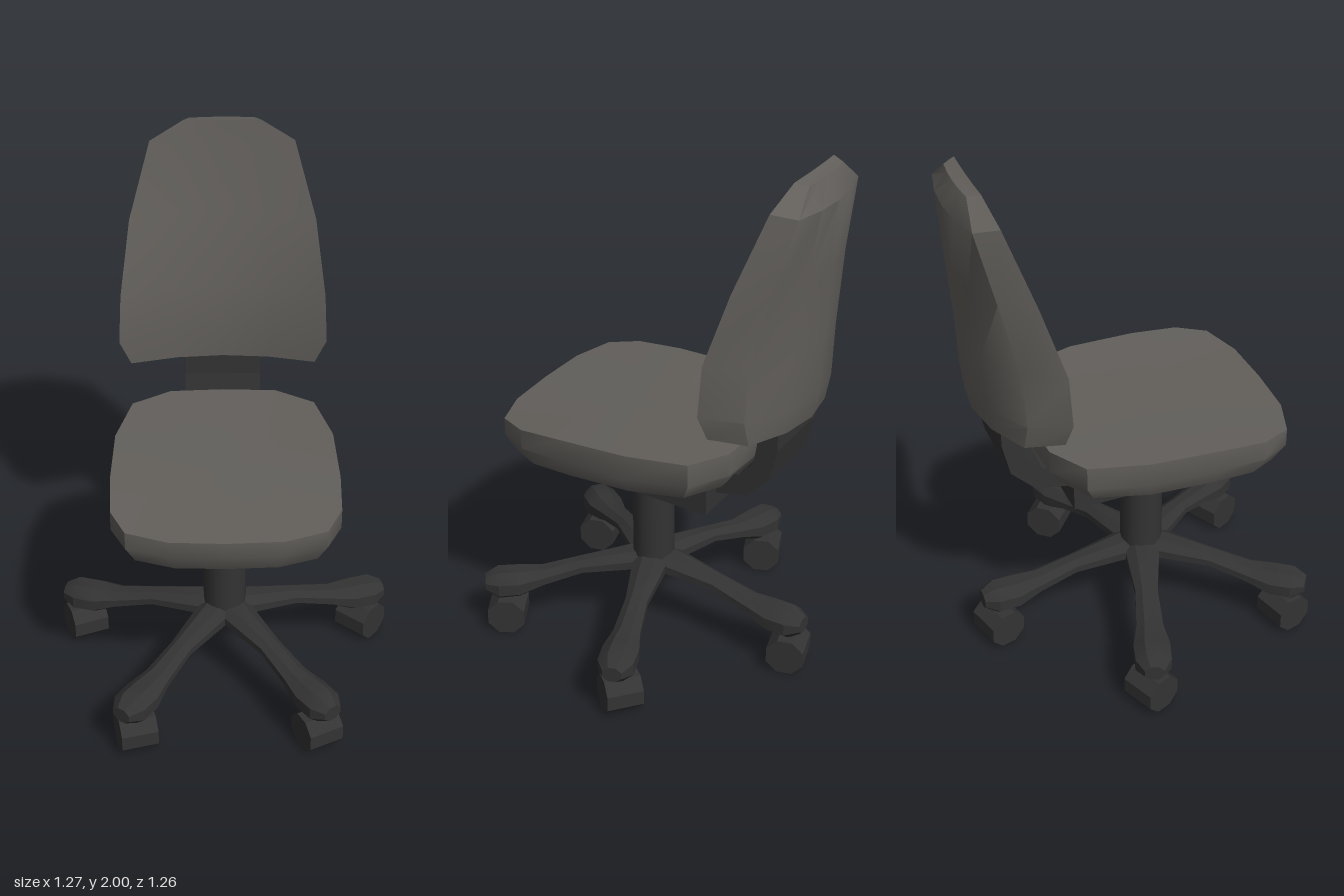
import * as THREE from 'three';
import { toCreasedNormals } from 'three/addons/utils/BufferGeometryUtils.js';

const fabric = new THREE.MeshStandardMaterial({ color: 0x625f5b });
const plastic = new THREE.MeshStandardMaterial({ color: 0x333333 });
const DEG = Math.PI / 180;
const BASE_Z = 0.08; // the column sits slightly ahead of the origin

// Skin a list of closed rings (counter-clockwise about the loft direction) and cap both ends
function loft(rings, crease = 0.6) {
  const n = rings[0].length, pos = rings.flat(2), index = [];
  const centre = ring => [0, 1, 2].map(k => ring.reduce((s, p) => s + p[k], 0) / n);
  pos.push(...centre(rings[0]), ...centre(rings.at(-1)));
  const first = rings.length * n, top = first - n;
  for (let j = 0; j < n; j++) {
    const k = (j + 1) % n;
    for (let i = 0; i < rings.length - 1; i++) {
      const a = i * n + j, b = i * n + k;
      index.push(a, b, b + n, a, b + n, a + n);
    }
    index.push(first, k, j, first + 1, top + j, top + k);
  }
  const g = new THREE.BufferGeometry();
  g.setAttribute('position', new THREE.Float32BufferAttribute(pos, 3));
  g.setIndex(index);
  return toCreasedNormals(g, crease);
}

function seatGeometry() {
  const half = [[0, 0.558], [0.2, 0.55], [0.35, 0.5], [0.404, 0.39], [0.41, 0.21],
    [0.4, -0.05], [0.342, -0.267], [0.2, -0.353], [0, -0.363]];
  const outline = [...half, ...half.slice(1, -1).reverse().map(([x, z]) => [-x, z])];
  const ring = (scale, height) => outline.map(([x, z]) => {
    const zs = 0.1 + (z - 0.1) * scale;
    return [x * scale, height(zs), zs];
  });
  return loft([
    ring(0.91, z => 0.805 - 0.03 * z),
    ring(1, z => 0.875 - 0.015 * z),
    ring(1, z => 0.97 - 0.04 * Math.pow(Math.max(0, z) / 0.56, 1.5)), // front edge dips
  ]);
}

function backrestGeometry() {
  // front: y, half width, edge z, centre z; rear: y, half width, edge z, centre z
  const levels = [
    [1.1, 0.345, -0.345, -0.4, 1.085, 0.29, -0.475, -0.567],
    [1.2, 0.387, -0.33, -0.4, 1.18, 0.31, -0.467, -0.59],
    [1.39, 0.377, -0.34, -0.415, 1.39, 0.3, -0.48, -0.6],
    [1.66, 0.34, -0.424, -0.475, 1.66, 0.27, -0.54, -0.615],
    [1.93, 0.262, -0.515, -0.53, 1.91, 0.215, -0.595, -0.63],
    [2.0, 0.14, -0.537, -0.54, 1.99, 0.12, -0.58, -0.588],
  ];
  const steps = [-1, -0.5, 0, 0.5, 1];
  const arc = (y, w, edge, mid, dir) => steps.map(f => [dir * f * w, y, mid + (edge - mid) * f * f]);
  return loft(levels.map(l => [...arc(...l.slice(0, 4), 1), ...arc(...l.slice(4), -1)]), 0.55);
}

function armGeometry() {
  // distance from hub, half width, bottom, top
  const sections = [[0, 0.07, 0.235, 0.32], [0.08, 0.065, 0.24, 0.32], [0.28, 0.042, 0.225, 0.285],
    [0.43, 0.05, 0.18, 0.25], [0.52, 0.068, 0.142, 0.25], [0.6, 0.066, 0.135, 0.25], [0.65, 0.036, 0.165, 0.225]];
  const c = Math.cos(Math.PI / 8);
  return loft(sections.map(([r, w, lo, hi]) => Array.from({ length: 8 }, (_, i) => {
    const a = (i + 0.5) * Math.PI / 4;
    return [Math.cos(a) / c * w, (lo + hi) / 2 + Math.sin(a) / c * (hi - lo) / 2, r];
  })), 0.5);
}

function bracketGeometry() {
  // side profile as (z, y), bent from under the seat up into the backrest
  const profile = [[-0.2, 0.74], [-0.27, 0.755], [-0.39, 0.78], [-0.48, 0.87], [-0.51, 1.0], [-0.51, 1.13],
    [-0.43, 1.13], [-0.43, 1.0], [-0.415, 0.915], [-0.36, 0.86], [-0.27, 0.83], [-0.2, 0.82]];
  const shape = new THREE.Shape(profile.map(([z, y]) => new THREE.Vector2(-z, y)));
  const g = new THREE.ExtrudeGeometry(shape, { depth: 0.286, bevelEnabled: false });
  return g.translate(0, 0, -0.143).rotateY(Math.PI / 2);
}

export function createModel() {
  const model = new THREE.Group();
  model.name = 'officeChair';
  const add = (name, geometry, material, x = 0, y = 0, z = 0, turn = 0) => {
    const mesh = new THREE.Mesh(geometry, material);
    mesh.name = name;
    mesh.position.set(x, y, z);
    mesh.rotation.y = turn * DEG;
    model.add(mesh);
  };

  // Cushions
  add('seat', seatGeometry(), fabric);
  add('backrest', backrestGeometry(), fabric);

  // Support between the cushions and the column
  add('backBracket', bracketGeometry(), plastic);
  add('seatMount', new THREE.BoxGeometry(0.43, 0.12, 0.56), plastic, 0, 0.76, 0.01);
  add('column', new THREE.CylinderGeometry(0.08, 0.08, 0.42, 16), plastic, 0, 0.51, BASE_Z);

  // Five-armed base
  const arm = armGeometry();
  for (const angle of [180, 108, 36, -36, -108]) add('baseArm', arm, plastic, 0, 0, BASE_Z, angle);

  // Casters, each swivelled its own way: x, z, turn
  const radius = 0.07 / Math.cos(Math.PI / 8);
  const wheel = toCreasedNormals(
    new THREE.CylinderGeometry(radius, radius, 0.137, 8).rotateY(Math.PI / 8).rotateZ(Math.PI / 2), 0.5);
  const casters = [[0, -0.51, 15], [0.54, -0.105, -41], [0.333, 0.54, 27], [-0.333, 0.54, 15], [-0.547, -0.105, 22]];
  for (const [x, z, turn] of casters) add('caster', wheel, plastic, x, 0.07, z, turn);

  return model;
}
